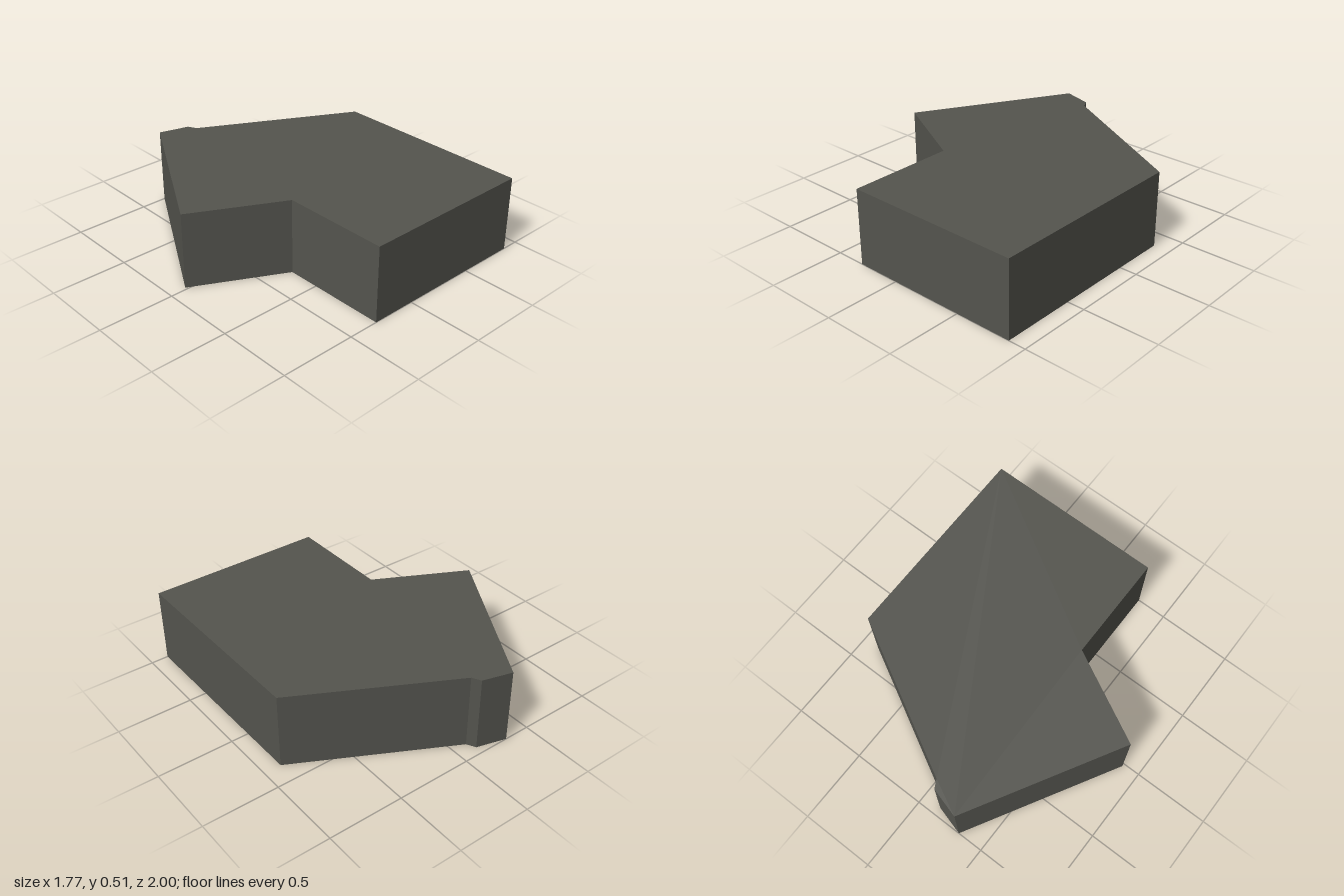
import * as THREE from 'three';

export function createModel() {
  const model = new THREE.Group();
  model.name = 'bentBlockShell';
  const height = 0.507;
  const darkGrey = new THREE.MeshStandardMaterial({ color: 0x54544e, side: THREE.DoubleSide });
  darkGrey.name = 'dark grey';

  // Footprint corners as [x, z], walked so that the outside is on the left
  const outline = [
    [0.885, -0.355], [0.885, 1], [-0.297, 1], [-0.297, 0.29],
    [-0.886, -0.018], [-0.325, -1], [-0.13, -0.945], [-0.1, -0.887],
  ];

  // Flat roof
  const shape = new THREE.Shape(outline.map(([x, z]) => new THREE.Vector2(x, -z)));
  const roof = new THREE.Mesh(new THREE.ShapeGeometry(shape), darkGrey);
  roof.geometry.rotateX(-Math.PI / 2);
  roof.position.y = height;
  roof.name = 'roof';
  model.add(roof);

  // One thin wall per footprint edge; the underside stays open
  const walls = new THREE.Group();
  walls.name = 'walls';
  outline.forEach(([ax, az], i) => {
    const [bx, bz] = outline[(i + 1) % outline.length];
    const dx = ax - bx, dz = az - bz;
    const wall = new THREE.Mesh(new THREE.PlaneGeometry(Math.hypot(dx, dz), height), darkGrey);
    wall.position.set((ax + bx) / 2, height / 2, (az + bz) / 2);
    wall.rotation.y = Math.atan2(-dz, dx);
    wall.name = `wall${i + 1}`;
    walls.add(wall);
  });
  model.add(walls);
  return model;
}
